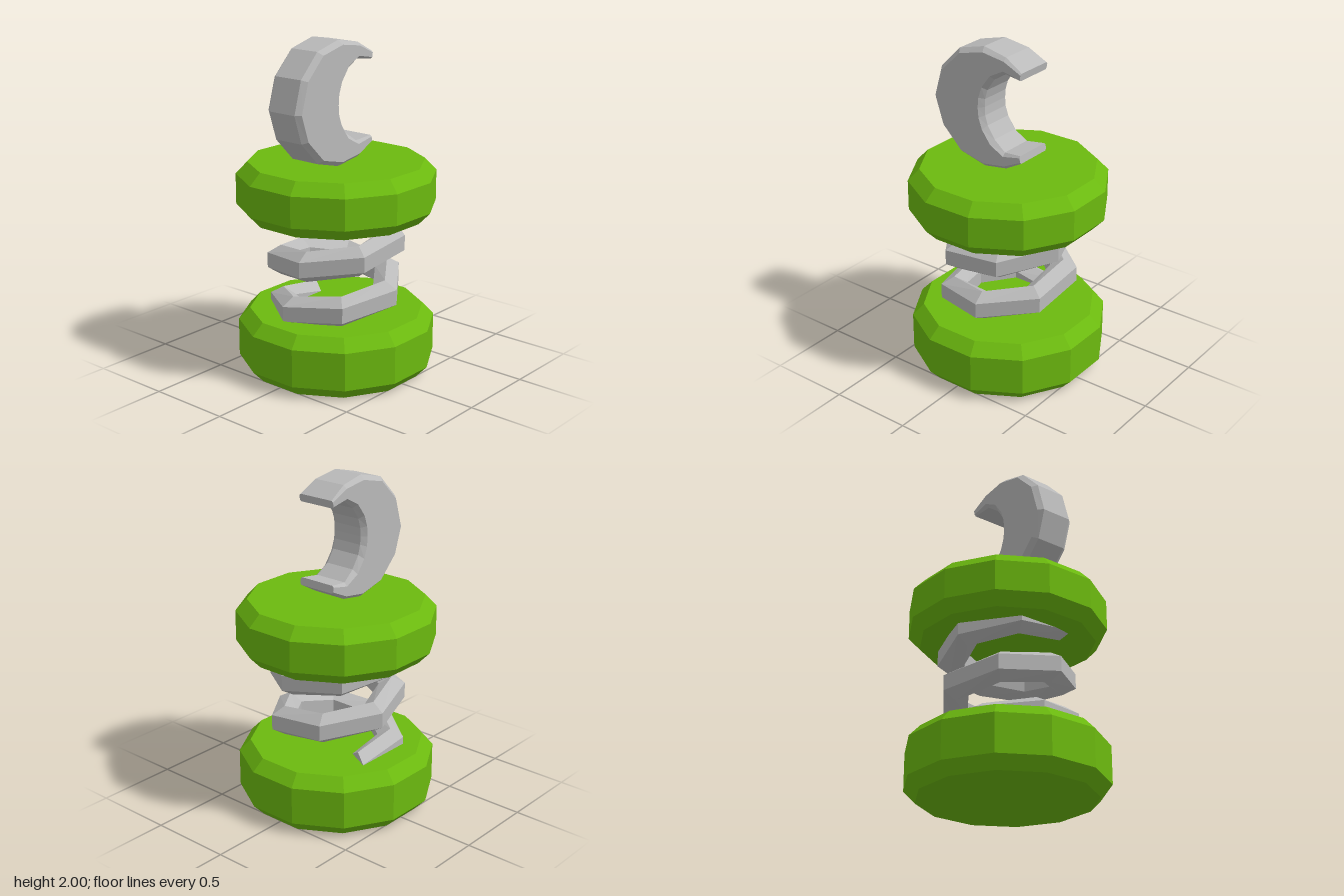
import * as THREE from 'three';

const green = new THREE.MeshStandardMaterial({ name: 'green', color: 0x6cba0f, flatShading: true });
const grey = new THREE.MeshStandardMaterial({ name: 'grey', color: 0xbababa, flatShading: true });

// Skin a list of equal-sized rings (counter-clockwise about the path) and cap both ends
function loft(rings) {
  const n = rings[0].length, last = (rings.length - 1) * n, index = [];
  for (let i = 0; i < rings.length - 1; i++) {
    for (let j = 0; j < n; j++) {
      const a = i * n + j, b = i * n + (j + 1) % n;
      index.push(a, b, a + n, b, b + n, a + n);
    }
  }
  for (let j = 1; j < n - 1; j++) {
    index.push(0, j + 1, j);
    index.push(last, last + j, last + j + 1);
  }
  const geo = new THREE.BufferGeometry();
  geo.setAttribute('position', new THREE.Float32BufferAttribute(rings.flat(2), 3));
  geo.setIndex(index);
  geo.computeVertexNormals();
  return geo;
}

// Twelve-sided disc with bevelled rims
function disc(name, y0, y1) {
  const bevel = 0.071;
  const profile = [[0, y0], [0.522, y0], [0.59, y0 + bevel], [0.59, y1 - bevel], [0.522, y1], [0, y1]];
  const geo = new THREE.LatheGeometry(profile.map(p => new THREE.Vector2(...p)), 12);
  geo.rotateY(Math.PI / 12);
  const mesh = new THREE.Mesh(geo, green);
  mesh.name = name;
  return mesh;
}

// Coil with a hexagonal section, 54 degrees per segment, ends buried in the discs
function spring() {
  const rings = [], radius = 0.332, r = 0.092;
  for (let k = -4; k <= 12; k++) {
    const deg = 9 + 54 * k, t = THREE.MathUtils.degToRad(deg);
    const y = 0.49 + 0.285 * deg / 360, ring = [];
    for (let j = 0; j < 6; j++) {
      const phi = (j + 0.5) * Math.PI / 3;
      const d = radius + r * Math.cos(phi);
      ring.push([d * Math.sin(t), y - r * Math.sin(phi), d * Math.cos(t)]);
    }
    rings.push(ring);
  }
  const mesh = new THREE.Mesh(loft(rings), grey);
  mesh.name = 'spring';
  return mesh;
}

// Crescent hook: outer x, y, inner x, y and side half width, from the tip to the middle
function hook() {
  const midY = 1.636;
  const half = [
    [0.175, 0.27, 0.168, 0.225, 0.115],
    [0.06, 0.335, 0.05, 0.238, 0.104],
    [-0.10, 0.364, -0.03, 0.182, 0.095],
    [-0.275, 0.318, -0.08, 0.108, 0.095],
    [-0.41, 0.18, -0.097, 0.05, 0.095],
  ];
  const stations = [
    ...half,
    [-0.465, -0.01, -0.1, 0, 0.095],
    ...half.map(([ox, oy, ix, iy, h]) => [ox, -oy, ix, -iy, h]).reverse(),
  ];
  const H = 0.125;
  const rings = stations.map(([ox, oy, ix, iy, h]) => {
    const f = Math.min(0.028 / Math.hypot(ox - ix, oy - iy), 0.2);
    const at = (s, z) => [ox + (ix - ox) * s, midY + oy + (iy - oy) * s, z];
    return [at(0, h), at(0, -h), at(f, -H), at(1 - f, -H), at(1, -h), at(1, h), at(1 - f, H), at(f, H)];
  });
  const mesh = new THREE.Mesh(loft(rings), grey);
  mesh.name = 'crescentHook';
  return mesh;
}

export function createModel() {
  const model = new THREE.Group();
  model.name = 'springToy';
  model.add(disc('lowerDisc', 0, 0.37), spring(), disc('upperDisc', 0.95, 1.275), hook());
  return model;
}
